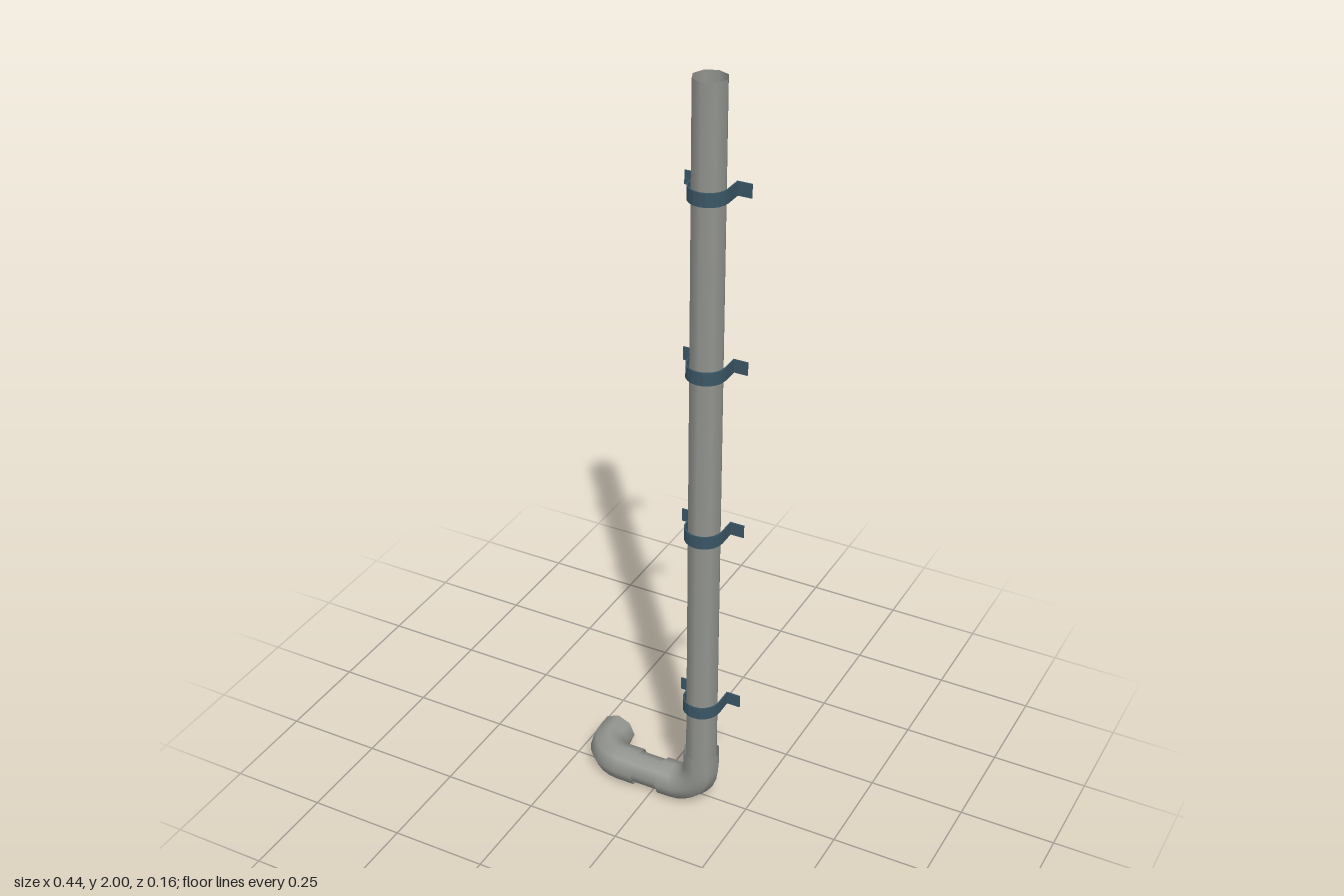
import * as THREE from 'three';

const V = (x, y, z) => new THREE.Vector3(x, y, z);
const SIDES = 8, PIPE_R = 0.0415, ELBOW_R = 0.048;
const PX = 0.134, PZ = 0.03, PY = 0.048; // pipe axes

export function createModel() {
  const group = new THREE.Group();
  const pipeGrey = new THREE.MeshStandardMaterial({ color: 0x92948f, side: THREE.DoubleSide });
  pipeGrey.name = 'pipe grey';
  const bracketBlue = new THREE.MeshStandardMaterial({ color: 0x3a5665 });
  bracketBlue.name = 'bracket slate blue';

  const add = (name, geometry, material) => {
    const mesh = new THREE.Mesh(geometry, material);
    mesh.name = name;
    group.add(mesh);
    return mesh;
  };

  // Open straight pipes
  const pipe = (name, length) =>
    add(name, new THREE.CylinderGeometry(PIPE_R, PIPE_R, length, SIDES, 1, true), pipeGrey);
  pipe('downpipe', 1.84).position.set(PX, 1.08, PZ);
  const link = pipe('horizontalPipe', 0.11);
  link.rotation.z = Math.PI / 2;
  link.position.set(-0.013, PY, PZ);

  // Elbow: straight socket, quarter bend, straight socket
  const elbow = (name, start, corner, end, bend) => {
    const toward = (target, d) => corner.clone().add(target.clone().sub(corner).setLength(d));
    const a = toward(start, bend), b = toward(end, bend);
    const k = bend * 0.448;
    const path = new THREE.CurvePath();
    path.add(new THREE.LineCurve3(start, a));
    path.add(new THREE.CubicBezierCurve3(a, toward(start, k), toward(end, k), b));
    path.add(new THREE.LineCurve3(b, end));
    add(name, new THREE.TubeGeometry(path, 12, ELBOW_R, SIDES, false), pipeGrey);
  };
  elbow('lowerElbow', V(PX, 0.175, PZ), V(PX, PY, PZ), V(0.022, PY, PZ), 0.08);
  elbow('outletElbow', V(-0.048, PY, PZ), V(-0.17, PY, PZ), V(-0.17, PY, -0.08), 0.073);

  // Wall bracket: bent strip around the pipe front with two tabs, drawn in plan (y = -z)
  const outer = 0.049, inner = 0.0455, back = 0.048, tab = 0.083, t = 0.0035;
  const strip = new THREE.Shape();
  strip.moveTo(-tab, back);
  strip.lineTo(-tab, back - t);
  strip.lineTo(-outer, back - t);
  strip.lineTo(-outer, 0);
  strip.absarc(0, 0, outer, Math.PI, Math.PI * 2, false);
  strip.lineTo(outer, back - t);
  strip.lineTo(tab, back - t);
  strip.lineTo(tab, back);
  strip.lineTo(inner, back);
  strip.lineTo(inner, 0);
  strip.absarc(0, 0, inner, 0, -Math.PI, true);
  strip.lineTo(-inner, back);
  const height = 0.034;
  const bracketGeo = new THREE.ExtrudeGeometry(strip, { depth: height, bevelEnabled: false, curveSegments: 5 });
  bracketGeo.translate(0, 0, -height / 2).rotateX(-Math.PI / 2);
  [0.33, 0.845, 1.292, 1.735].forEach((y, i) =>
    add(`wallBracket${i + 1}`, bracketGeo, bracketBlue).position.set(PX, y, PZ));

  return group;
}
